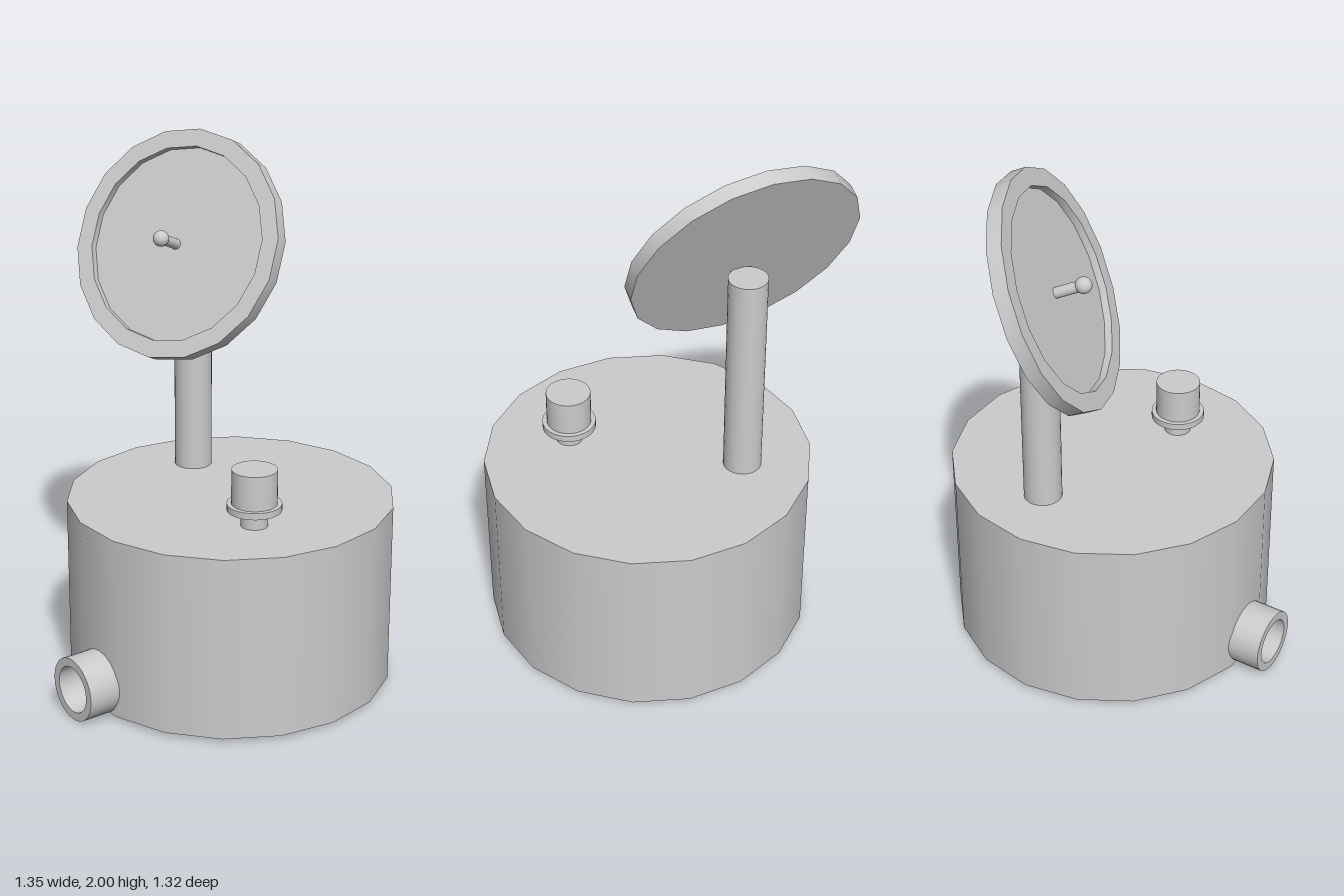
import * as THREE from 'three';
import { toCreasedNormals } from 'three/addons/utils/BufferGeometryUtils.js';

const material = new THREE.MeshStandardMaterial({ color: 0xcccccc });

// Turned solid: smooth round the axis, sharp at the profile corners
function turned(name, profile, sides) {
  const points = profile.map(([r, y]) => new THREE.Vector2(r, y));
  const mesh = new THREE.Mesh(toCreasedNormals(new THREE.LatheGeometry(points, sides), 0.6), material);
  mesh.name = name;
  return mesh;
}

// Upright cylinder between two heights
function cylinder(name, radius, bottom, top, x, z, sides = 32) {
  const mesh = new THREE.Mesh(new THREE.CylinderGeometry(radius, radius, top - bottom, sides), material);
  mesh.name = name;
  mesh.position.set(x, (bottom + top) / 2, z);
  return mesh;
}

export function createModel() {
  const model = new THREE.Group();
  model.name = 'drumWithTiltedDish';

  // Drum: 18 sides with a corner on +x
  const cx = 0.06, cz = -0.06;
  const drum = cylinder('drum', 0.61, 0.015, 0.71, cx, cz, 18);
  drum.rotation.y = Math.PI / 2;
  model.add(drum);

  // Post carrying the dish
  model.add(cylinder('post', 0.071, 0.70, 1.535, -0.235, -0.255));

  // Push button: stem, flange and cap
  const button = new THREE.Group();
  button.name = 'button';
  button.add(
    cylinder('buttonStem', 0.05, 0.70, 0.77, 0.29, 0.145),
    cylinder('buttonFlange', 0.1, 0.77, 0.795, 0.29, 0.145),
    cylinder('buttonCap', 0.083, 0.795, 0.925, 0.29, 0.145)
  );
  model.add(button);

  // Tilted dish with a raised rim; local y is its facing direction
  const dish = new THREE.Group();
  dish.name = 'dish';
  dish.position.set(-0.25, 1.583, -0.209);
  dish.rotation.x = Math.PI / 2 - 0.412;
  dish.add(turned('dishPlate', [
    [0, 0], [0.433, 0], [0.433, 0.057], [0.367, 0.057], [0.367, 0.029], [0, 0.029]
  ], 18));
  dish.add(cylinder('dishRod', 0.02, 0.02, 0.13, -0.012, 0, 20));
  const ball = new THREE.Mesh(new THREE.SphereGeometry(0.03, 24, 16), material);
  ball.name = 'dishRodBall';
  ball.position.set(-0.012, 0.136, 0);
  dish.add(ball);
  model.add(dish);

  // Open spout pointing straight out from one drum facet
  const spout = turned('spout', [
    [0.088, 0], [0.12, 0], [0.12, 0.14], [0.088, 0.14], [0.088, 0]
  ], 32);
  const angle = -Math.PI / 9;
  spout.rotation.set(Math.PI / 2, angle, 0, 'YXZ');
  spout.position.set(cx + Math.sin(angle) * 0.58, 0.12, cz + Math.cos(angle) * 0.58);
  model.add(spout);

  return model;
}
